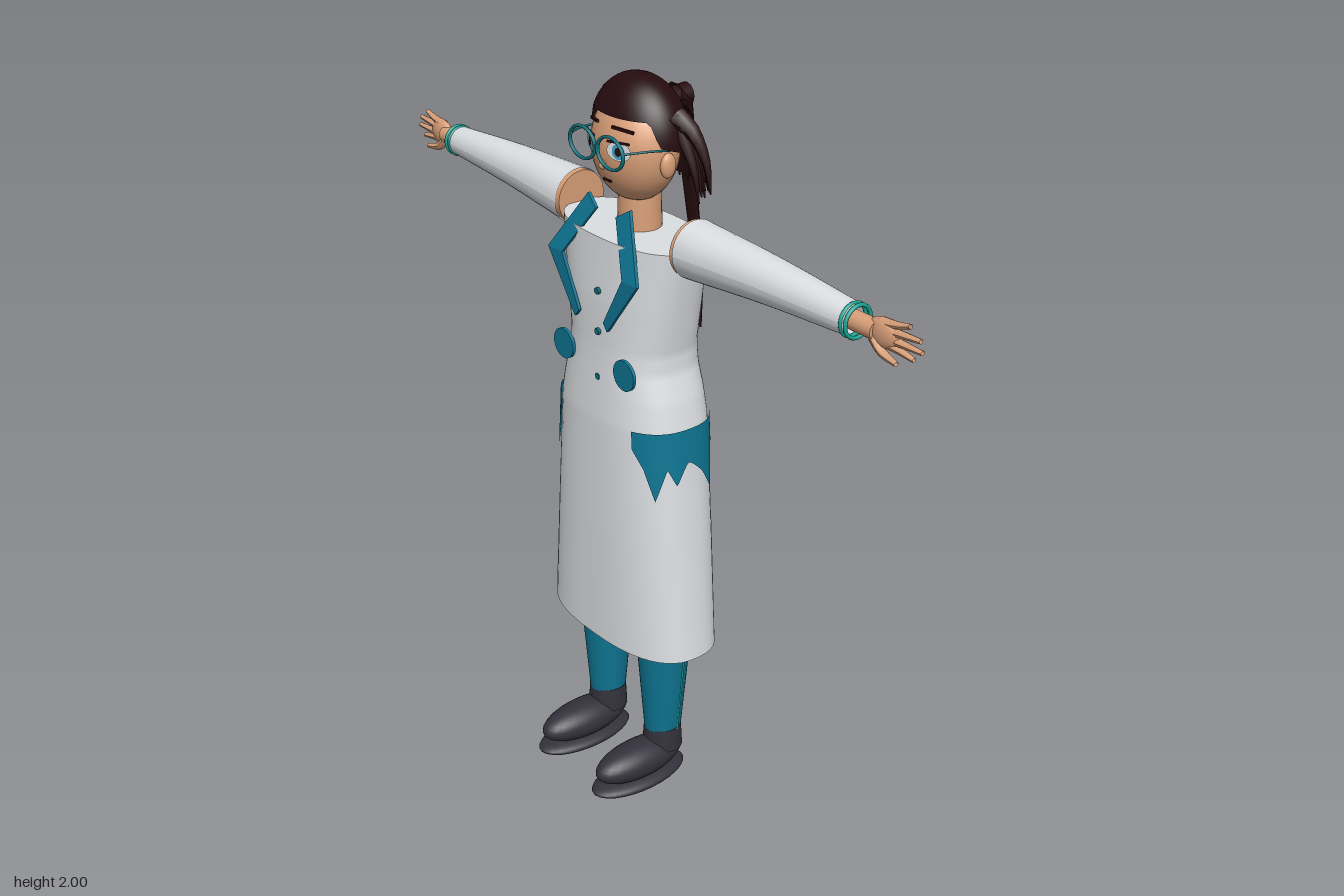
import * as THREE from 'three';
import { ParametricGeometry } from 'three/addons/geometries/ParametricGeometry.js';

const paint = (name, color) => new THREE.MeshStandardMaterial({ name, color, side: THREE.DoubleSide });
const V = (x, y, z) => new THREE.Vector3(x, y, z);

// linear interpolation in rows [key, value, value...] sorted by key
function sample(rows, k, col = 1) {
  let i = 1;
  while (i < rows.length - 1 && k > rows[i][0]) i++;
  const a = rows[i - 1], b = rows[i];
  return THREE.MathUtils.mapLinear(THREE.MathUtils.clamp(k, a[0], b[0]), a[0], b[0], a[col], b[col]);
}

// tube along points, narrowing from r0 to r1; flat squeezes its depth
function tapered(points, r0, r1, sides = 8, flat = 1, steps = 8) {
  const curve = new THREE.CatmullRomCurve3(points);
  const geo = new THREE.TubeGeometry(curve, steps, 1, sides);
  const pos = geo.attributes.position, p = V(0, 0, 0);
  for (let i = 0; i < pos.count; i++) {
    const t = Math.floor(i / (sides + 1)) / steps, c = curve.getPointAt(t);
    p.fromBufferAttribute(pos, i).sub(c).multiplyScalar(r0 + (r1 - r0) * t);
    p.z *= flat;
    p.add(c);
    pos.setXYZ(i, p.x, p.y, p.z);
  }
  geo.computeVertexNormals();
  return geo;
}

// coat cross-sections: height, half width, front z, back z
const COAT = [[0.46, 0.275, 0.127, -0.165], [0.8, 0.247, 0.127, -0.165], [1.13, 0.22, 0.125, -0.16],
  [1.2, 0.205, 0.12, -0.155], [1.27, 0.183, 0.115, -0.148], [1.33, 0.18, 0.112, -0.145],
  [1.45, 0.2, 0.11, -0.145], [1.61, 0.228, 0.1, -0.14]];
const bulge = (n) => Math.sign(n) * Math.abs(n) ** 0.8;
function coatPoint(a, y, out, target, shrink = 1) {
  const f = sample(COAT, y, 2), b = sample(COAT, y, 3);
  target.set((sample(COAT, y) + out) * shrink * bulge(Math.sin(a)), y,
    (f + b) / 2 + ((f - b) / 2 + out) * shrink * bulge(Math.cos(a)));
}

function legPoint(a, y, out, target) {
  const r = 0.05 + (y - 0.16) * 0.08 + out;
  target.set(r * Math.sin(a), y, -0.022 + r * 1.05 * Math.cos(a));
}

export function createModel() {
  const root = new THREE.Group();
  root.name = 'figure';
  const white = paint('coatWhite', 0xdcdfe2), teal = paint('teal', 0x0e7592), skin = paint('skin', 0xd99f78),
    hair = paint('hairBrown', 0x260c0f), dark = paint('shoeGrey', 0x33323c), green = paint('trimGreen', 0x1aa594),
    eyeWhite = paint('eyeWhite', 0xf0f5f8), iris = paint('irisBlue', 0x3aa3c4), frame = paint('frameTeal', 0x126f78);

  const add = (name, geo, mat, x = 0, y = 0, z = 0, parent = root) => {
    const m = new THREE.Mesh(geo, mat);
    m.name = name;
    m.position.set(x, y, z);
    parent.add(m);
    return m;
  };
  const ball = (name, mat, p, s, parent) => {
    const m = add(name, new THREE.SphereGeometry(1, 28, 20), mat, ...p, parent);
    m.scale.set(...s);
    return m;
  };

  // coat
  add('coat', new ParametricGeometry((u, v, t) => coatPoint(u * Math.PI * 2, 0.46 + v * 1.15, 0, t), 48, 46), white);
  add('coatShoulders', new ParametricGeometry((u, v, t) => {
    coatPoint(u * Math.PI * 2, 1.61, 0, t, 1 - v * 0.99);
  }, 48, 2), white);
  for (const y of [1.475, 1.365, 1.24])
    add('coatButton', new THREE.CylinderGeometry(0.009, 0.009, 0.008, 10).rotateX(Math.PI / 2), frame, 0.02, y, 0.115);

  // neck, head, nose and mouth
  add('neck', new THREE.CylinderGeometry(0.053, 0.058, 0.16, 20), skin, 0, 1.66, -0.035);
  ball('head', skin, [0, 1.822, -0.02], [0.125, 0.14, 0.1]);
  ball('nose', skin, [0, 1.79, 0.079], [0.009, 0.012, 0.012]);
  add('mouth', new THREE.BoxGeometry(0.03, 0.005, 0.006), hair, 0, 1.748, 0.066);

  // hair cap: low at the back, cut straight over the forehead
  const EDGE = [[0, 1.91], [0.95, 1.91], [1.15, 1.85], [1.75, 1.83], [2.0, 1.75], [Math.PI, 1.73]];
  add('hairCap', new ParametricGeometry((u, v, t) => {
    const a = (u * 2 - 1) * Math.PI;
    const low = Math.asin((sample(EDGE, Math.abs(a)) - 1.85) / 0.15);
    const lat = low + (Math.PI / 2 - low) * v, r = Math.max(Math.cos(lat), lat < 0 ? 1 : 0);
    t.set(0.145 * r * Math.sin(a), 1.85 + 0.15 * Math.sin(lat), -0.033 + 0.105 * r * Math.cos(a));
  }, 64, 16), hair);

  // loose strands fanning out around the back of the head
  for (let i = 0; i <= 24; i++) {
    const a = 1.75 + (i / 24) * (Math.PI * 2 - 3.5), s = Math.sin(a), c = Math.cos(a), wob = (i % 3) * 0.012;
    add('hairStrand', tapered([V(0.125 * s, 1.9, -0.035 + 0.09 * c), V(0.155 * s, 1.84, -0.04 + 0.105 * c),
      V(0.178 * s, 1.78, -0.045 + 0.112 * c), V(0.19 * s, 1.71 + wob, -0.048 + 0.115 * c)], 0.022, 0.002, 6), hair);
  }

  // ponytail with its tie
  add('ponytail', tapered([V(0.02, 1.93, -0.12), V(0.02, 1.92, -0.15), V(0.02, 1.8, -0.165), V(0.02, 1.62, -0.19),
    V(0.02, 1.46, -0.212), V(0.02, 1.29, -0.215)], 0.034, 0.014, 10, 0.4, 16), hair);
  add('hairTie', new THREE.CylinderGeometry(0.026, 0.03, 0.06, 12).rotateX(Math.PI / 2), hair, 0.02, 1.925, -0.135);

  for (const s of [-1, 1]) {
    const side = new THREE.Group();
    side.name = s > 0 ? 'leftSide' : 'rightSide';
    root.add(side);
    const part = (name, geo, mat, x = 0, y = 0, z = 0) => add(name, geo, mat, s * x, y, z, side);

    // side locks
    for (let i = 0; i < 6; i++) {
      const tx = 0.222 - i * 0.013, ty = 1.742 + (i % 2) * 0.018 - i * 0.003, tz = -0.075 - i * 0.009;
      part('sideLock', tapered([V(s * 0.125, 1.92, -0.045), V(s * (0.165 - i * 0.003), 1.89, -0.06),
        V(s * (tx - 0.02), 1.82, tz), V(s * tx, ty, tz)], 0.026, 0.002, 6), hair);
    }

    // ear, eye and brow
    ball('ear', skin, [s * 0.127, 1.8, -0.02], [0.014, 0.032, 0.022], side);
    const eye = new THREE.Group();
    eye.name = 'eye';
    eye.position.set(s * 0.053, 1.835, 0.0715);
    eye.rotation.y = s * 0.36;
    side.add(eye);
    [[0.034, 0.024, eyeWhite], [0.018, 0.02, iris], [0.009, 0.011, hair]].forEach(([rx, ry, mat], i) => {
      const disc = add(['eyeball', 'iris', 'pupil'][i], new THREE.CircleGeometry(1, 24), mat, 0, 0, 0.002 + i * 0.002, eye);
      disc.scale.set(rx, ry, 1);
    });
    add('eyelash', new THREE.BoxGeometry(0.062, 0.005, 0.004), hair, 0, 0.023, 0.004, eye);
    const brow = part('brow', new THREE.BoxGeometry(0.06, 0.007, 0.006), hair, 0.055, 1.887, 0.062);
    brow.rotation.set(0, s * 0.4, -s * 0.12);

    // glasses
    const rim = part('glassesRim', new THREE.TorusGeometry(0.05, 0.005, 8, 32), frame, 0.055, 1.837, 0.1);
    rim.scale.y = 0.8;
    part('glassesTemple', tapered([V(s * 0.105, 1.847, 0.1), V(s * 0.125, 1.847, 0.04), V(s * 0.133, 1.84, -0.02)],
      0.003, 0.003, 6), frame);

    // lapel, folded at the shoulder
    const shape = new THREE.Shape([[0.04, 1.665], [0.083, 1.692], [0.18, 1.535], [0.066, 1.38], [0.05, 1.4], [0.122, 1.535]]
      .map(([x, y]) => new THREE.Vector2(s * x, y)));
    const lapel = new THREE.ExtrudeGeometry(shape, { depth: 0.009, bevelEnabled: false });
    const lp = lapel.attributes.position;
    for (let i = 0; i < lp.count; i++)
      lp.setZ(i, lp.getZ(i) + sample([[1.38, 0.113], [1.535, 0.11], [1.69, 0.055]], lp.getY(i)));
    lapel.computeVertexNormals();
    part('lapel', lapel, teal);
    part('chestDisc', new THREE.CylinderGeometry(0.041, 0.041, 0.009, 28).rotateX(Math.PI / 2), teal, 0.125, 1.28, 0.112);

    // torn hip pocket lying on the coat
    const TEAR = [[0, 1.08], [0.1, 1.03], [0.2, 0.94], [0.33, 1.03], [0.42, 0.98], [0.53, 1.04], [0.65, 1.0],
      [0.78, 0.94], [0.88, 1.06], [1, 1.04]];
    part('hipPocket', new ParametricGeometry((u, v, t) => {
      const low = sample(TEAR, u);
      coatPoint(s * (0.62 + u * 1.75), low + (1.13 - low) * v, 0.005, t);
    }, 60, 6), teal);

    // sleeve, shoulder end, wrist and bracelet
    part('sleeve', tapered([V(s * 0.235, 1.62, -0.02), V(s * 0.5, 1.627, -0.02), V(s * 0.79, 1.625, -0.018)],
      0.075, 0.039, 28), white);
    part('shoulder', new THREE.CylinderGeometry(0.072, 0.072, 0.02, 28).rotateZ(Math.PI / 2), skin, 0.232, 1.62, -0.02);
    part('wrist', new THREE.CylinderGeometry(0.024, 0.024, 0.09, 16).rotateZ(Math.PI / 2), skin, 0.805, 1.625, -0.018);
    for (const x of [0.775, 0.79])
      part('bracelet', new THREE.TorusGeometry(0.039, 0.005, 8, 28).rotateY(Math.PI / 2), green, x, 1.625, -0.018);

    // hand
    ball('palm', skin, [s * 0.868, 1.625, -0.02], [0.048, 0.036, 0.018], side);
    [[0.03, 0.945, 0.042], [0.011, 0.978, 0.018], [-0.009, 0.985, -0.007], [-0.026, 0.962, -0.032]].forEach(([y, x, ty]) =>
      part('finger', tapered([V(s * 0.86, 1.625 + y * 0.8, -0.02), V(s * 0.91, 1.627 + y, -0.02),
        V(s * x, 1.625 + ty, -0.02)], 0.013, 0.006), skin));
    part('thumb', tapered([V(s * 0.845, 1.61, -0.015), V(s * 0.875, 1.585, -0.01), V(s * 0.925, 1.574, -0.005)],
      0.015, 0.006), skin);

    // trouser leg with side seam and a torn patch behind
    const leg = new THREE.Group();
    leg.name = 'leg';
    leg.position.x = s * 0.125;
    side.add(leg);
    const onLeg = (name, mat, cols, rows, fn) => add(name, new ParametricGeometry((u, v, t) => {
      const [a, y, out] = fn(u, v);
      legPoint(a, y, out, t);
    }, cols, rows), mat, 0, 0, 0, leg);
    onLeg('trouserLeg', teal, 28, 8, (u, v) => [u * Math.PI * 2, 0.14 + v * 0.5, 0]);
    onLeg('seam', green, 2, 6, (u, v) => [s * (Math.PI / 2 + 0.2) + (u - 0.5) * 0.12, 0.16 + v * 0.4, 0.003]);
    const RIP = [[0, 0.03], [0.15, 0.18], [0.28, 0.12], [0.4, 0.5], [0.5, 0.34], [0.62, 0.62], [0.75, 0.4], [0.87, 0.6], [1, 0.1]];
    onLeg('tornPatch', skin, 10, 32, (u, v) => [Math.PI + (u - 0.5) * 2 * sample(RIP, v), 0.32 + v * 0.12, 0.003]);

    // sock and shoe
    add('sock', new THREE.CylinderGeometry(0.052, 0.056, 0.07, 24), dark, 0, 0.13, -0.022, leg);
    ball('shoe', dark, [0, 0.078, 0.063], [0.061, 0.052, 0.145], leg);
    ball('shoeSole', dark, [0, 0.024, 0.065], [0.071, 0.024, 0.155], leg);
  }
  add('glassesBridge', new THREE.BoxGeometry(0.016, 0.007, 0.007), frame, 0, 1.842, 0.1);
  return root;
}
